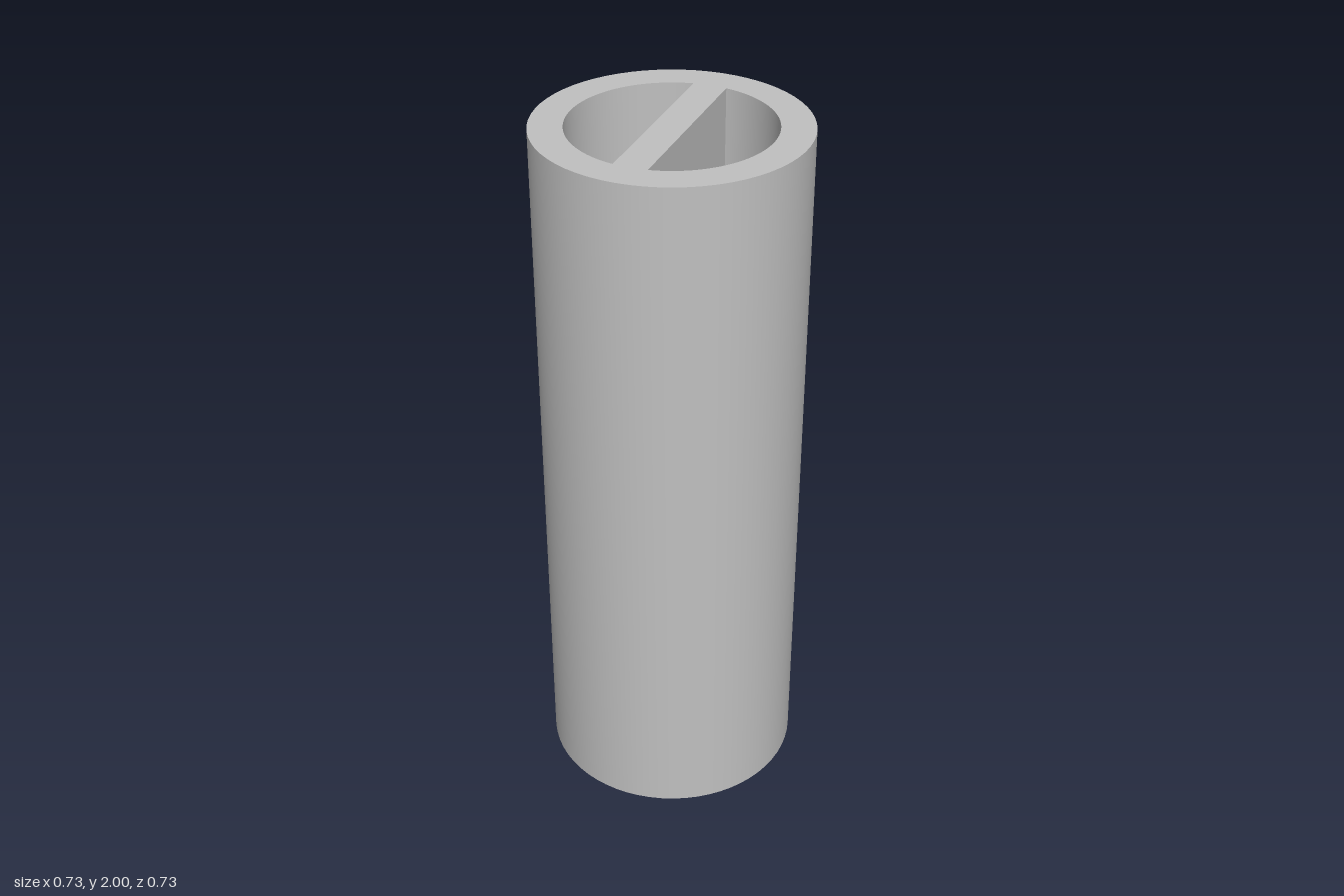
import * as THREE from 'three';
import { toCreasedNormals } from 'three/addons/utils/BufferGeometryUtils.js';

const HEIGHT = 2;
const OUTER_RADIUS = 0.366;
const INNER_RADIUS = 0.275;
const HALF_WEB = 0.046;

// D-shaped channel on one side of the central web
function channel(side) {
  const hole = new THREE.Path();
  const angle = Math.acos(HALF_WEB / INNER_RADIUS);
  const middle = side > 0 ? 0 : Math.PI;
  hole.absarc(0, 0, INNER_RADIUS, middle - angle, middle + angle, false);
  hole.closePath();
  return hole;
}

export function createModel() {
  const group = new THREE.Group();
  group.name = 'dividedTube';

  const grey = new THREE.MeshStandardMaterial({ color: 0xc0c0c0 });
  grey.name = 'light grey';

  // Tube wall and dividing web share one cross-section
  const section = new THREE.Shape();
  section.absarc(0, 0, OUTER_RADIUS, 0, Math.PI * 2, false);
  section.holes.push(channel(1), channel(-1));

  const extrusion = new THREE.ExtrudeGeometry(section, {
    depth: HEIGHT,
    bevelEnabled: false,
    curveSegments: 32,
  });
  extrusion.rotateX(-Math.PI / 2);

  // Smooth round walls, sharp rims and web corners
  const tube = new THREE.Mesh(toCreasedNormals(extrusion, 0.5), grey);
  tube.name = 'tubeWithWeb';
  group.add(tube);

  return group;
}
